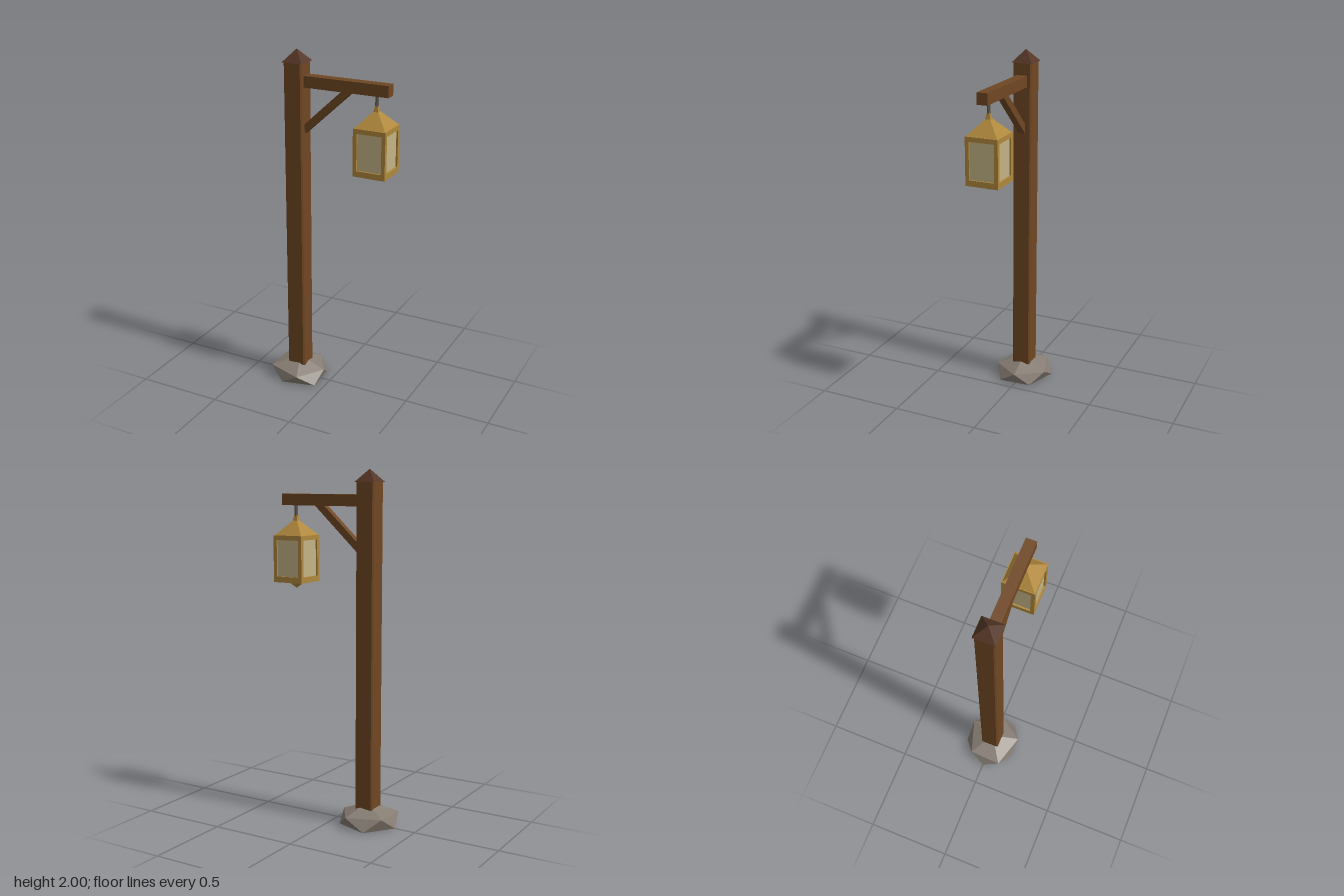
import * as THREE from 'three';
import { ConvexGeometry } from 'three/addons/geometries/ConvexGeometry.js';

const material = (name, color) => {
  const m = new THREE.MeshStandardMaterial({ color, flatShading: true });
  m.name = name;
  return m;
};

export function createModel() {
  const wood = material('wood', 0x6f4722);
  const darkWood = material('dark wood', 0x533525);
  const stone = material('stone', 0x857c72);
  const brass = material('brass', 0xb0883c);
  const glass = material('pale glass', 0xc3b385);
  const iron = material('iron', 0x5c5752);

  const model = new THREE.Group();
  model.name = 'lampPost';

  const add = (parent, name, geometry, mat, x = 0, y = 0, z = 0) => {
    const mesh = new THREE.Mesh(geometry, mat);
    mesh.name = name;
    mesh.position.set(x, y, z);
    parent.add(mesh);
    return mesh;
  };
  // Square frustum with flat sides facing the axes; half widths at top and bottom
  const frustum = (top, bottom, height) =>
    new THREE.CylinderGeometry(top * Math.SQRT2, bottom * Math.SQRT2, height, 4).rotateY(Math.PI / 4);
  const polygon = (points) => new THREE.Shape(points.map(([x, y]) => new THREE.Vector2(x, y)));

  // Rough footing stone: points alternate between the ground and a raised rim
  const rim = [
    [-0.375, 0, 0], [-0.338, 0.07, -0.092], [-0.257, 0, -0.158], [-0.142, 0.066, -0.156],
    [-0.065, 0, -0.09], [-0.042, 0.062, 0], [-0.055, 0, 0.098], [-0.145, 0.062, 0.155],
    [-0.25, 0, 0.145], [-0.347, 0.07, 0.098], [-0.2, 0.125, 0],
  ];
  add(model, 'footingStone', new ConvexGeometry(rim.map((p) => new THREE.Vector3(...p))), stone);

  // Post with chamfered corners
  const px = -0.2, h = 0.055, c = 0.047;
  const section = polygon([[-c, -h], [c, -h], [h, -c], [h, c], [c, h], [-c, h], [-h, c], [-h, -c]]);
  const postGeometry = new THREE.ExtrudeGeometry(section, { depth: 1.87, bevelEnabled: false });
  add(model, 'post', postGeometry.rotateX(-Math.PI / 2), wood, px, 0.06);
  add(model, 'postCap', frustum(0, 0.061, 0.07), darkWood, px, 1.965);

  // Arm and slanted brace
  add(model, 'arm', new THREE.BoxGeometry(0.516, 0.064, 0.06), wood, 0.098, 1.831);
  const braceShape = polygon([[-0.15, 1.533], [0.143, 1.803], [0.082, 1.803], [-0.15, 1.588]]);
  const braceGeometry = new THREE.ExtrudeGeometry(braceShape, { depth: 0.04, bevelEnabled: false });
  add(model, 'brace', braceGeometry, wood, 0, 0, -0.02);

  // Hanging lantern
  const lantern = new THREE.Group();
  lantern.name = 'lantern';
  lantern.position.x = 0.278;
  model.add(lantern);
  add(lantern, 'hanger', new THREE.CylinderGeometry(0.01, 0.01, 0.075, 8), iron, 0, 1.7655);
  add(lantern, 'roofNeck', frustum(0.008, 0.016, 0.04), brass, 0, 1.725);
  add(lantern, 'roof', frustum(0.014, 0.091, 0.083), brass, 0, 1.671);
  add(lantern, 'topPlate', new THREE.BoxGeometry(0.18, 0.012, 0.18), brass, 0, 1.624);
  add(lantern, 'bottomPlate', new THREE.BoxGeometry(0.18, 0.012, 0.18), brass, 0, 1.372);
  add(lantern, 'bottomPoint', frustum(0.036, 0, 0.038), brass, 0, 1.347);
  add(lantern, 'glassPanes', new THREE.BoxGeometry(0.168, 0.24, 0.168), glass, 0, 1.498);

  // Four window frames with open centres
  const w = 0.094, ow = 0.072;
  const frame = polygon([[-w, 1.365], [w, 1.365], [w, 1.631], [-w, 1.631]]);
  frame.holes.push(new THREE.Path(
    [[-ow, 1.398], [-ow, 1.605], [ow, 1.605], [ow, 1.398]].map(([x, y]) => new THREE.Vector2(x, y))));
  const frameGeometry = new THREE.ExtrudeGeometry(frame, { depth: 0.012, bevelEnabled: false });
  frameGeometry.translate(0, 0, w - 0.012);
  for (let i = 0; i < 4; i++) {
    add(lantern, 'windowFrame', frameGeometry, brass).rotation.y = (i * Math.PI) / 2;
  }
  return model;
}
